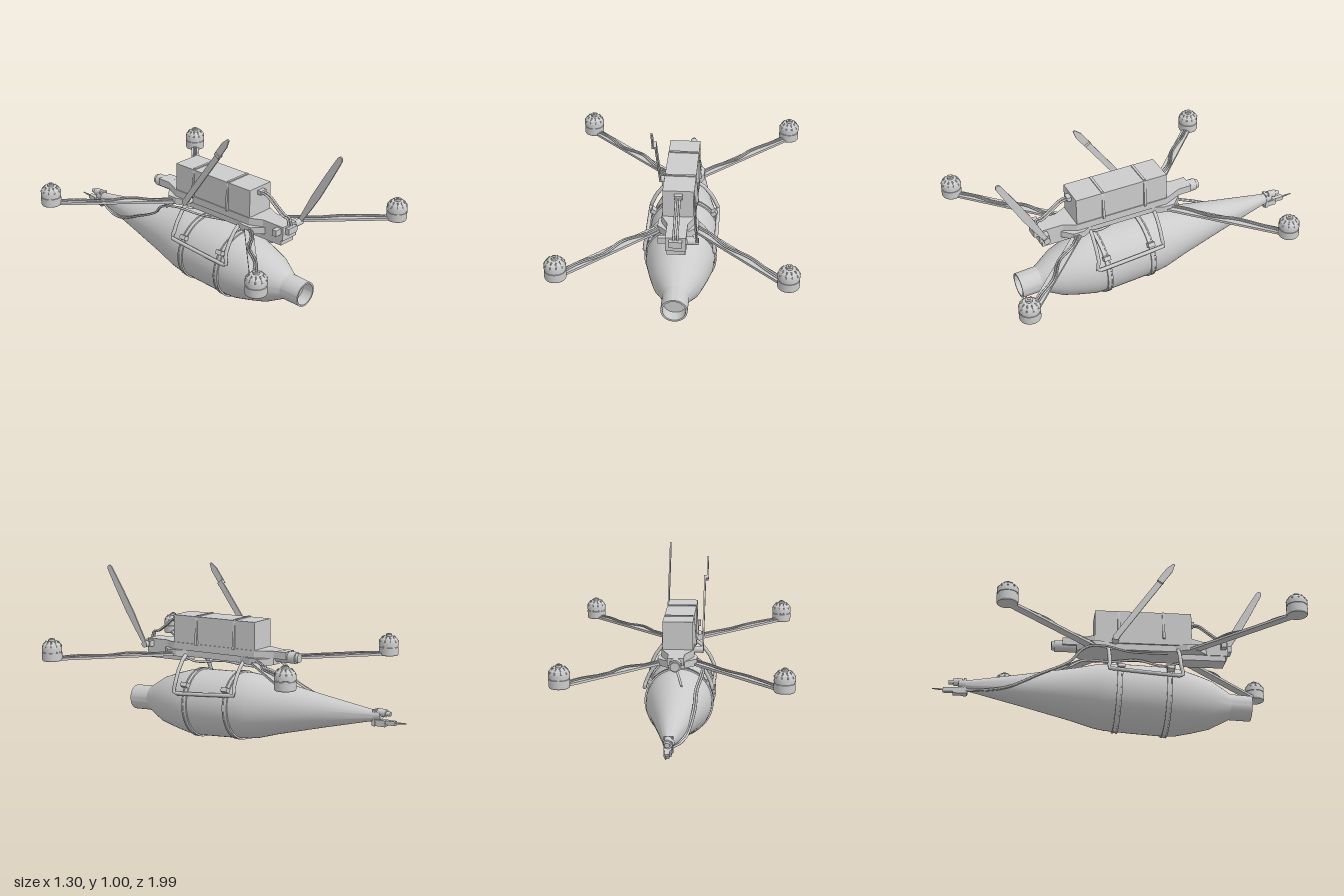
import * as THREE from 'three';
import { toCreasedNormals } from 'three/addons/utils/BufferGeometryUtils.js';

const grey = new THREE.MeshStandardMaterial({ color: 0xcccccc, side: THREE.DoubleSide });
const V = (p) => new THREE.Vector3(...p);

function add(parent, name, geo, pos = [0, 0, 0], rot = [0, 0, 0]) {
  const m = new THREE.Mesh(geo, grey);
  m.name = name;
  m.position.set(...pos);
  m.rotation.set(...rot);
  parent.add(m);
  return m;
}
const box = (g, name, size, pos, rot) => add(g, name, new THREE.BoxGeometry(...size), pos, rot);
const lathe = (pts, seg = 32) =>
  toCreasedNormals(new THREE.LatheGeometry(pts.map((p) => new THREE.Vector2(...p)), seg), 0.4);

// Cylinder running between two points
function rod(g, name, a, b, r0, r1 = r0, seg = 16) {
  const A = V(a), B = V(b), d = B.clone().sub(A);
  const m = add(g, name, new THREE.CylinderGeometry(r1, r0, d.length(), seg), A.clone().add(B).multiplyScalar(0.5).toArray());
  m.quaternion.setFromUnitVectors(new THREE.Vector3(0, 1, 0), d.normalize());
  return m;
}
// Smooth wire through a few points
function wire(g, name, pts, r = 0.006, tension = 0.5) {
  const c = new THREE.CatmullRomCurve3(pts.map(V), false, 'catmullrom', tension);
  return add(g, name, new THREE.TubeGeometry(c, 40, r, 8));
}
// Flat plate from a closed outline, extruded by depth
function plate(outline, depth) {
  const s = new THREE.Shape(outline.map((p) => new THREE.Vector2(...p)));
  return new THREE.ExtrudeGeometry(s, { depth, bevelEnabled: false });
}

// Slung body: a lathe laid along z, slightly nose-down
function buildPayload() {
  const g = new THREE.Group();
  g.name = 'payload';
  g.position.set(0, 0.217, 0);
  g.rotation.x = Math.PI / 2 + 0.05;
  add(g, 'payloadBody', lathe([
    [0, -0.83], [0.027, -0.83], [0.035, -0.78], [0.09, -0.5], [0.15, -0.21], [0.18, -0.09], [0.188, -0.03],
    [0.192, 0.1], [0.194, 0.28], [0.188, 0.37], [0.165, 0.46], [0.136, 0.555], [0.073, 0.665],
    [0.072, 0.785], [0.062, 0.785], [0.062, 0.72], [0, 0.72]], 48));
  for (const [s, r] of [[0.305, 0.193], [0.03, 0.19]]) {
    for (const o of [-0.011, 0.011]) {
      add(g, 'bandEdge', lathe([[r, s + o - 0.004], [r + 0.009, s + o - 0.004], [r + 0.009, s + o + 0.004], [r, s + o + 0.004]], 48));
    }
    add(g, 'band', lathe([[r, s - 0.011], [r + 0.006, s - 0.011], [r + 0.006, s + 0.011], [r, s + 0.011]], 48));
  }
  return g;
}

// Small mechanism on the tail
function buildTail() {
  const g = new THREE.Group();
  g.name = 'tailFitting';
  rod(g, 'tailCap', [0, 0.26, -0.81], [0, 0.264, -0.85], 0.032, 0.025);
  rod(g, 'tailDrum', [0, 0.28, -0.83], [0, 0.276, -0.88], 0.021);
  rod(g, 'tailKnob', [0, 0.276, -0.88], [0, 0.275, -0.905], 0.013);
  box(g, 'tailClamp', [0.05, 0.09, 0.014], [0, 0.248, -0.815]);
  box(g, 'tailBlock', [0.04, 0.035, 0.08], [0, 0.222, -0.84]);
  box(g, 'tailSlider', [0.026, 0.024, 0.07], [0, 0.228, -0.9]);
  rod(g, 'tailNeedle', [0, 0.23, -0.93], [0, 0.234, -0.995], 0.006, 0.003, 8);
  return g;
}

function buildMotor(x, z) {
  const g = new THREE.Group();
  g.name = 'motor';
  g.position.set(x, 0, z);
  add(g, 'motorCan', lathe([
    [0, 0.477], [0.054, 0.477], [0.057, 0.484], [0.057, 0.525], [0.054, 0.526], [0.054, 0.531], [0.057, 0.532],
    [0.057, 0.555], [0.05, 0.572], [0.034, 0.586], [0.018, 0.588], [0.018, 0.6], [0.008, 0.6], [0.008, 0.605], [0, 0.605]]));
  // Cooling ribs on the dome
  for (let i = 0; i < 10; i++) {
    const a = (i / 10) * Math.PI * 2;
    rod(g, 'motorRib', [0.056 * Math.cos(a), 0.558, 0.056 * Math.sin(a)], [0.034 * Math.cos(a), 0.587, 0.034 * Math.sin(a)], 0.004, 0.004, 6);
  }
  return g;
}

function buildArm(sx, z0, z1) {
  const g = new THREE.Group();
  g.name = 'arm';
  const x0 = 0.06 * sx, x1 = 0.59 * sx;
  const len = Math.hypot(x1 - x0, z1 - z0);
  const dir = Math.atan2(x1 - x0, z1 - z0);
  box(g, 'armBeam', [0.048, 0.014, len], [(x0 + x1) / 2, 0.485, (z0 + z1) / 2], [0, dir, 0]);
  // Motor leads snaking along the beam
  const at = (t, off, y) => [x0 + (x1 - x0) * t + off * Math.cos(dir), y, z0 + (z1 - z0) * t - off * Math.sin(dir)];
  for (const o of [-0.006, 0.006]) {
    wire(g, 'motorLead', [at(0.02, o, 0.5), at(0.2, o + 0.012, 0.497), at(0.4, o - 0.012, 0.502),
      at(0.6, o + 0.014, 0.497), at(0.8, o, 0.5), at(0.95, o, 0.495)], 0.005);
  }
  g.add(buildMotor(x1, z1));
  return g;
}

function buildFrame() {
  const g = new THREE.Group();
  g.name = 'frame';
  // Decks: outline in x and z, extruded upwards
  const half = [[0.045, -0.28], [0.045, -0.2], [0.09, -0.1], [0.09, 0.45], [0.055, 0.52], [0.055, 0.66]];
  const outline = [...half, ...half.map(([x, z]) => [-x, z]).reverse()];
  add(g, 'topDeck', plate(outline, 0.042), [0, 0.556, 0], [Math.PI / 2, 0, 0]);
  const low = [[0.045, -0.2], [0.11, -0.14], [0.11, -0.08], [0.08, 0], [0.08, 0.36], [0.11, 0.42], [0.11, 0.48], [0.05, 0.54]];
  add(g, 'lowerDeck', plate([...low, ...low.map(([x, z]) => [-x, z]).reverse()], 0.038), [0, 0.515, 0], [Math.PI / 2, 0, 0]);
  // Battery with its two straps
  box(g, 'battery', [0.17, 0.16, 0.55], [0, 0.635, 0.175]);
  for (const z of [0.29, 0.035]) {
    const s = plate([[-0.1, 0.55], [-0.088, 0.7], [-0.078, 0.721], [0.078, 0.721], [0.088, 0.7], [0.1, 0.55]], 0.014);
    add(g, 'batteryStrap', s, [0, 0, z - 0.007]);
  }
  // Nose electronics
  box(g, 'noseBox', [0.1, 0.034, 0.25], [0, 0.46, 0.52]);
  box(g, 'noseMount', [0.11, 0.045, 0.14], [0, 0.497, 0.59]);
  box(g, 'camera', [0.07, 0.036, 0.03], [0, 0.528, 0.67]);
  box(g, 'noseCrossbar', [0.19, 0.035, 0.03], [0, 0.528, 0.632]);
  box(g, 'powerPlug', [0.044, 0.024, 0.03], [0, 0.686, 0.46]);
  for (const x of [-0.01, 0.01]) {
    wire(g, 'powerLead', [[x, 0.686, 0.46], [x, 0.675, 0.51], [x, 0.63, 0.57], [x, 0.595, 0.62], [x, 0.59, 0.65], [x, 0.545, 0.665]]);
  }
  // Rear tube
  rod(g, 'rearTube', [0, 0.523, -0.2], [0, 0.523, -0.325], 0.034);
  rod(g, 'rearTubeLip', [0, 0.523, -0.325], [0, 0.523, -0.342], 0.026);
  return g;
}

// Blade standing beside the nose
function buildFrontBlade() {
  const g = new THREE.Group();
  g.name = 'frontBlade';
  const blade = plate([[-0.012, 0], [-0.019, 0.1], [-0.025, 0.22], [-0.022, 0.38], [-0.017, 0.5], [-0.008, 0.516],
    [0.008, 0.516], [0.015, 0.5], [0.02, 0.36], [0.022, 0.2], [0.016, 0.09], [0.012, 0]], 0.009);
  const holder = new THREE.Group();
  holder.position.set(0.105, 0.53, 0.64);
  holder.rotation.x = 0.525;
  add(holder, 'blade', blade, [0, 0, 0], [0, Math.PI / 2, 0]);
  g.add(holder);
  rod(g, 'bladeHub', [0.06, 0.528, 0.64], [0.12, 0.528, 0.64], 0.019);
  return g;
}

// Two-piece pointed mast on the other side
function buildSideMast() {
  const g = new THREE.Group();
  g.name = 'sideMast';
  const holder = new THREE.Group();
  holder.position.set(-0.135, 0.53, 0.015);
  holder.rotation.x = 0.62;
  box(holder, 'mastBar', [0.01, 0.45, 0.034], [0, 0.22, 0]);
  box(holder, 'mastJoint', [0.026, 0.02, 0.036], [-0.007, 0.44, 0]);
  add(holder, 'mastTip', plate([[-0.019, 0.43], [0.019, 0.43], [0.019, 0.53], [0.006, 0.575], [-0.006, 0.575], [-0.019, 0.53]], 0.008),
    [-0.018, 0, 0], [0, Math.PI / 2, 0]);
  g.add(holder);
  rod(g, 'mastHub', [-0.08, 0.528, 0.015], [-0.14, 0.528, 0.015], 0.019);
  return g;
}

// Looped rails that hold the payload under the frame
function buildCradle(s) {
  const g = new THREE.Group();
  g.name = 'cradle';
  const leg = (z, y) => [[0.08, 0.485], [0.115, 0.46], [0.16, 0.4], [0.187, 0.34], [0.194, y]].map(([x, h]) => [x * s, h, z]);
  wire(g, 'cradleLoop', [...leg(0.37, 0.28), ...leg(-0.025, 0.31).reverse()], 0.011, 0.15);
  for (const z of [0.315, 0.04]) box(g, 'bandBuckle', [0.03, 0.025, 0.04], [0.172 * s, 0.33, z], [0, 0, 0.5 * s]);
  return g;
}

export function createModel() {
  const model = new THREE.Group();
  model.name = 'carrierDrone';
  model.add(buildPayload(), buildTail(), buildFrame(), buildFrontBlade(), buildSideMast());
  for (const s of [-1, 1]) {
    model.add(buildArm(s, -0.08, -0.598), buildArm(s, 0.42, 0.938), buildCradle(s));
  }
  // Control cable from the frame along the body to the tail
  for (const o of [0, 0.012]) {
    wire(model, 'controlCable', [[-0.05, 0.475, 0.3 + o], [-0.09, 0.46, 0.1], [-0.13, 0.475, -0.05], [-0.15 + o, 0.45, -0.16],
      [-0.12 + o, 0.37, -0.25], [-0.115 + o, 0.3, -0.4], [-0.09 + o, 0.23, -0.56], [-0.06 + o, 0.215, -0.68], [-0.015 + o, 0.225, -0.8]]);
  }
  wire(model, 'underCable', [[0.03, 0.465, 0.42], [0.06, 0.45, 0.3], [0.03, 0.465, 0.15], [0.05, 0.46, 0], [0, 0.44, -0.15], [-0.03, 0.385, -0.24]], 0.007);
  return model;
}
